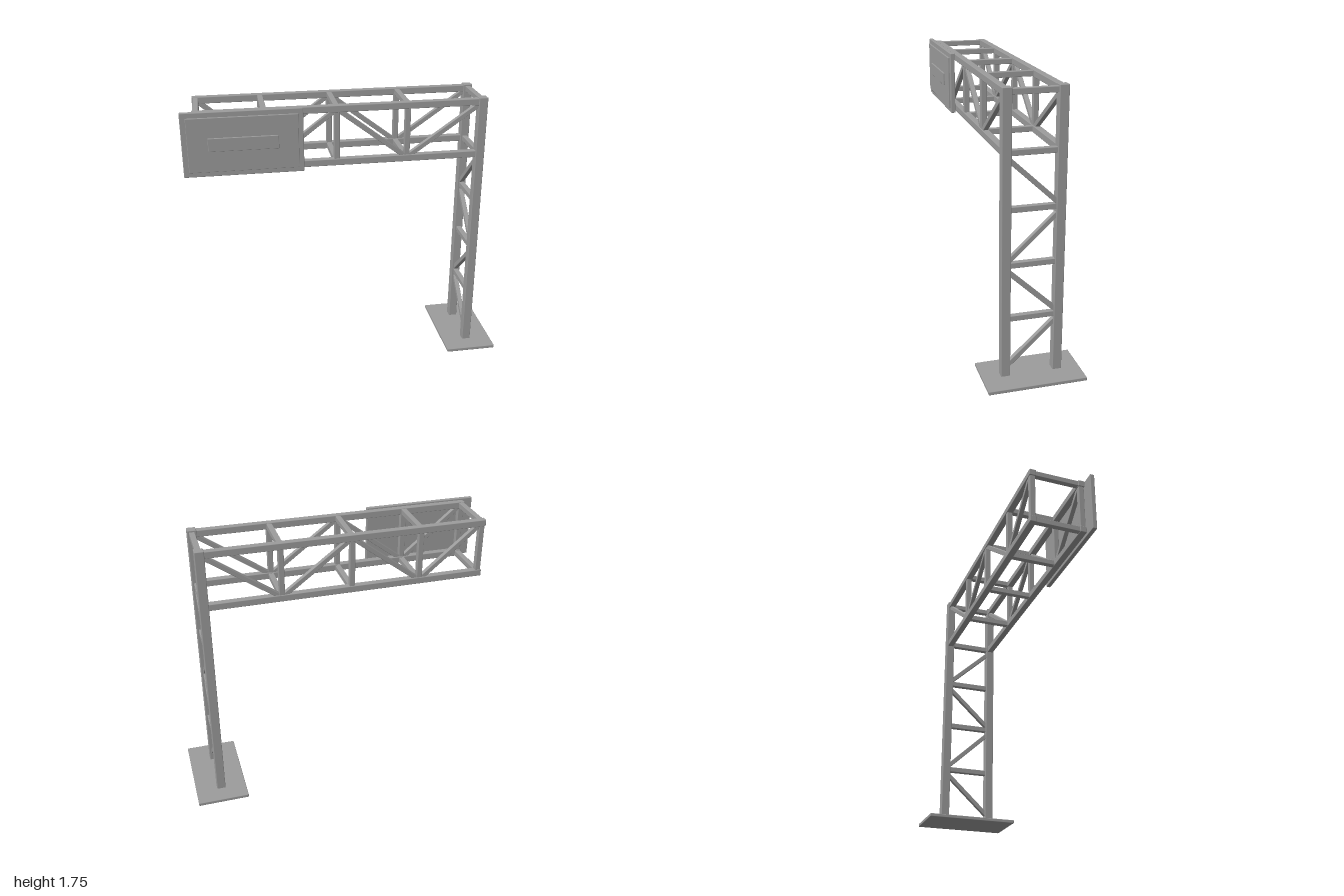
import * as THREE from 'three';
import { RoundedBoxGeometry } from 'three/addons/geometries/RoundedBoxGeometry.js';

export function createModel() {
  const model = new THREE.Group();
  model.name = 'signGantry';
  const steel = new THREE.MeshStandardMaterial({ color: 0x9c9c9c });
  steel.name = 'steel grey';

  // Softly bevelled box given by its lower and upper corners
  function block(name, min, max, bevel = 0.004) {
    const size = max.map((v, i) => v - min[i]);
    const mesh = new THREE.Mesh(new RoundedBoxGeometry(...size, 1, bevel), steel);
    mesh.position.set(...max.map((v, i) => (v + min[i]) / 2));
    mesh.name = name;
    model.add(mesh);
  }

  // Square bar running between two points
  function bar(name, from, to, width) {
    const a = new THREE.Vector3(...from), b = new THREE.Vector3(...to);
    const mesh = new THREE.Mesh(new RoundedBoxGeometry(width, width, a.distanceTo(b), 1, 0.003), steel);
    mesh.position.copy(a).add(b).multiplyScalar(0.5);
    mesh.lookAt(b);
    mesh.name = name;
    model.add(mesh);
  }

  const postX = 0.829, side = 0.16, top = 1.723, bottom = 1.388;
  const joints = [-0.907, -0.512, -0.077, 0.36]; // truss panel points along the arm

  // Ground plate
  block('basePlate', [0.664, 0, -0.3], [0.995, 0.022, 0.3]);

  // Posts and the two arm trusses, mirrored front to back
  for (const z of [side, -side]) {
    block('post', [postX - 0.028, 0.015, z - 0.028], [postX + 0.028, 1.75, z + 0.028]);
    for (const y of [top, bottom])
      block('armChord', [-0.93, y - 0.021, z - 0.021], [postX, y + 0.021, z + 0.021]);
    for (const x of joints) bar('armUpright', [x, bottom, z], [x, top, z], 0.034);
    // Zigzag braces between panel points
    const points = [...joints, postX];
    for (let i = 0; i < 4; i++) {
      const y0 = i % 2 ? bottom : top, y1 = i % 2 ? top : bottom;
      const inset = 0.015;
      bar('armBrace',
        [points[i] + inset, y0 + (y0 === top ? -0.014 : 0.014), z],
        [points[i + 1] - inset, y1 + (y1 === top ? -0.014 : 0.014), z], 0.029);
    }
  }

  // Cross ties joining the two trusses
  for (const x of joints)
    for (const y of [top, bottom]) bar('armTie', [x, y, -side], [x, y, side], 0.034);

  // Cross ties and zigzag braces between the posts
  for (const y of [0.39, 0.725, 1.06, bottom, top])
    bar('postTie', [postX, y, -side], [postX, y, side], 0.034);
  for (let i = 0; i < 4; i++) {
    const low = 0.075 + i * 0.333, high = low + 0.285;
    const s = i % 2 ? -1 : 1;
    bar('postBrace', [postX, low, s * 0.153], [postX, high, -s * 0.153], 0.029);
  }

  // Sign board with raised panel and plaque
  block('signBoard', [-1, 1.356, 0.186], [-0.283, 1.75, 0.214]);
  block('signPanel', [-0.968, 1.387, 0.205], [-0.313, 1.719, 0.224], 0.003);
  block('signPlaque', [-0.848, 1.516, 0.215], [-0.432, 1.597, 0.233], 0.003);

  return model;
}
